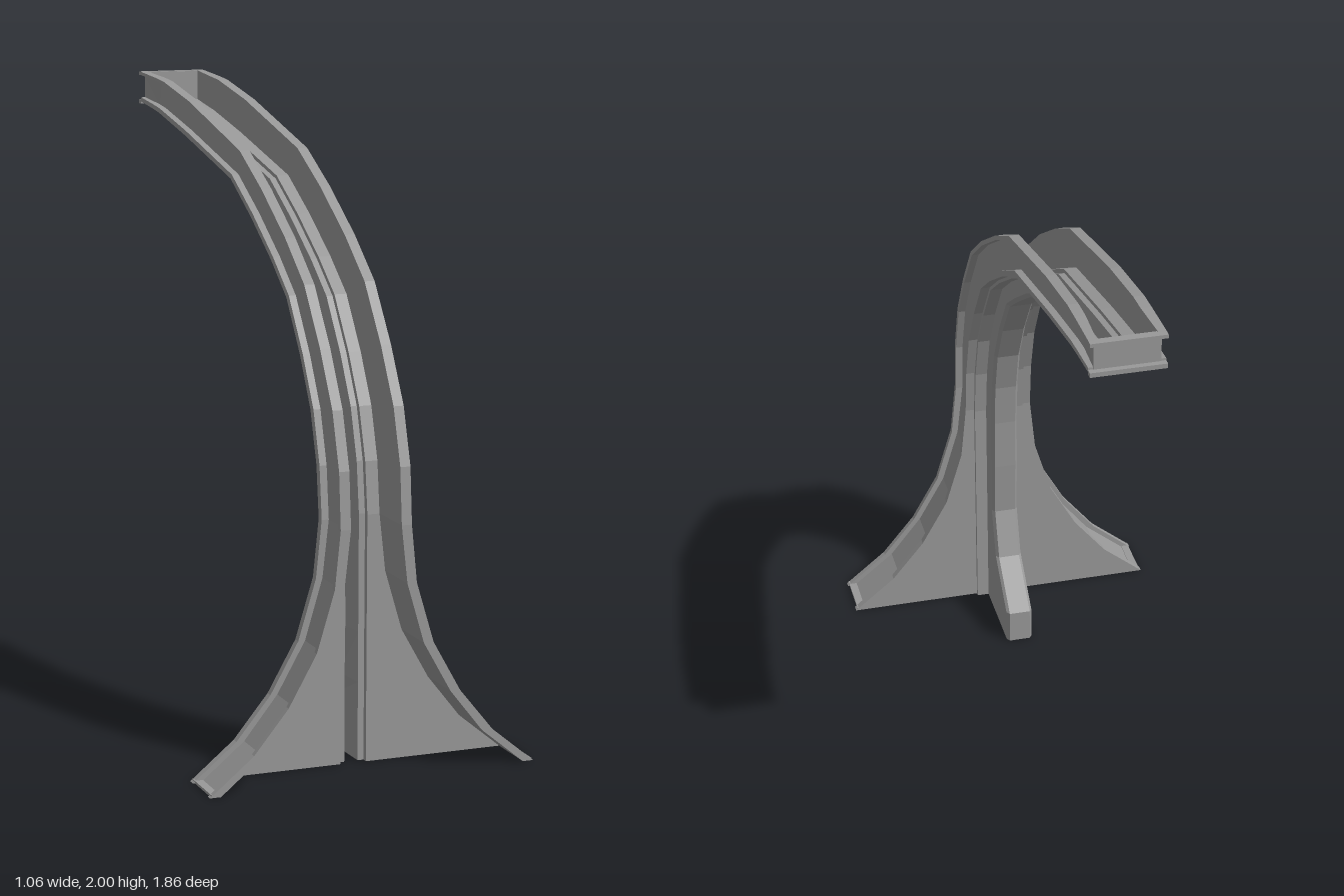
import * as THREE from 'three';

const material = new THREE.MeshStandardMaterial({ color: 0x999999, flatShading: true });

// Stations along the arch: front edge, back face and rib edge as [z, y],
// then half width of the flanges, half width of the web, half width of the recess.
const foot = [[0, 0.44, 0.53, 0.505], [0.115, 0.44, 0.39, 0.365], [0.25, 0.6, 0.28, 0.258],
  [0.41, 0.655, 0.19, 0.168], [0.6, 0.647, 0.133, 0.112]]
  .map(([y, r, w, v]) => ({ o: [0.93, y], b: [0.74, y], r: [r, y], w, v, s: 0.042 }));
const bend = [
  [0.93, 0.78, 0.74, 0.78, 0.645, 0.78],
  [0.915, 0.955, 0.72, 0.94, 0.63, 0.93],
  [0.86, 1.13, 0.67, 1.1, 0.59, 1.077],
  [0.76, 1.3, 0.585, 1.25, 0.51, 1.225],
  [0.63, 1.475, 0.47, 1.41, 0.4, 1.38],
  [0.47, 1.597, 0.34, 1.507, 0.28, 1.464],
  [0.265, 1.724, 0.165, 1.618, 0.117, 1.57],
  [0.07, 1.825, -0.02, 1.72, -0.075, 1.67],
  [-0.41, 1.94, -0.455, 1.815, -0.49, 1.766],
  [-0.67, 1.985, -0.72, 1.867, -0.67, 1.8],
  [-0.75, 1.991, -0.785, 1.876, -0.727, 1.81],
].map(([oz, oy, bz, by, rz, ry]) => ({ o: [oz, oy], b: [bz, by], r: [rz, ry], w: 0.115, v: 0.092, s: 0.042 }));
const arch = [...foot, ...bend];
const last = arch[arch.length - 1];
const tip = { o: [-0.91, 2], b: [-0.91, 1.89], w: 0.115, v: 0.1, s: 0 };

const mix = (p, q, t) => [p[0] + (q[0] - p[0]) * t, p[1] + (q[1] - p[1]) * t];

// Sweeps a closed profile of [x, t] through rings; t runs between two rails.
function sweep(name, stations, profile, from, to) {
  const profiles = stations.map((s) => profile(s).map(([x, t]) => new THREE.Vector2(x, t)));
  if (THREE.ShapeUtils.isClockWise(profiles[0])) profiles.forEach((p) => p.reverse());
  const rings = stations.map((s, i) => profiles[i].map((p) => {
    const [z, y] = mix(s[from], s[to], p.y);
    return new THREE.Vector3(p.x, y, z);
  }));
  const tris = [];
  const n = rings[0].length;
  for (let i = 0; i < rings.length - 1; i++) {
    for (let k = 0; k < n; k++) {
      const a = rings[i][k], b = rings[i][(k + 1) % n];
      const c = rings[i + 1][(k + 1) % n], d = rings[i + 1][k];
      tris.push([a, b, c], [a, c, d]);
    }
  }
  const end = rings.length - 1;
  for (const [a, b, c] of THREE.ShapeUtils.triangulateShape(profiles[0], [])) {
    tris.push([rings[0][c], rings[0][b], rings[0][a]]);
  }
  for (const [a, b, c] of THREE.ShapeUtils.triangulateShape(profiles[end], [])) {
    tris.push([rings[end][a], rings[end][b], rings[end][c]]);
  }
  // Turn every face outward
  let volume = 0;
  for (const [a, b, c] of tris) volume += a.dot(b.clone().cross(c));
  if (volume < 0) tris.forEach((t) => t.reverse());
  const geometry = new THREE.BufferGeometry().setFromPoints(tris.flat());
  geometry.computeVertexNormals();
  const mesh = new THREE.Mesh(geometry, material);
  mesh.name = name;
  return mesh;
}

function box(name, x, width, y0, y1, z0, z1) {
  const mesh = new THREE.Mesh(new THREE.BoxGeometry(width, y1 - y0, z1 - z0), material);
  mesh.position.set(x, (y0 + y1) / 2, (z0 + z1) / 2);
  mesh.name = name;
  return mesh;
}

export function createModel() {
  const group = new THREE.Group();
  group.name = 'archedSupport';

  // Open channel with outward flanges, one half per side, spreading into the feet
  const channel = [...arch, { ...last, s: 0 }, tip];
  for (const side of [1, -1]) {
    const label = side > 0 ? 'left' : 'right';
    group.add(sweep(`${label}Beam`, channel, ({ w, v, s }) => [
      [w, 0], [w, 0.1], [v, 0.1], [v, 0.8], [w, 0.8], [w, 0.93], [0.085, 0.93], [0.085, 1],
      [s, 1], [s, 0.9], [v - 0.01, 0.9], [v - 0.01, 0],
    ].map(([x, t]) => [x * side, t]), 'o', 'b'));
    // Lip joining the two flanges where the foot meets the ground
    group.add(box(`${label}ToeLip`, side * 0.511, 0.026, 0, 0.008, 0.754, 0.93));
  }

  // Rib with a narrow groove behind the recess, with its buttress foot
  group.add(sweep('rib', arch, ({ b, r }) => {
    const depth = Math.hypot(b[0] - r[0], b[1] - r[1]);
    const bevel = 1 - 0.014 / depth;
    const floor = 1 - 0.01 / depth;
    return [[0.045, 0], [0.045, bevel], [0.036, 1], [-0.036, 1], [-0.045, bevel], [-0.045, 0],
      [-0.022, 0], [-0.011, floor], [0.011, floor], [0.022, 0]];
  }, 'b', 'r'));

  // Plate closing the rib's upper end
  const before = arch[arch.length - 2];
  const inner = { b: mix(before.b, last.b, 0.8), r: mix(before.r, last.r, 0.8) };
  group.add(sweep('ribEnd', [inner, last],
    () => [[0.03, 0.02], [0.02, 0.95], [-0.02, 0.95], [-0.03, 0.02]], 'b', 'r'));

  // End wall and the flanges that wrap round the tip
  group.add(box('endWall', 0, 0.2, 1.895, 1.998, -0.912, -0.9));
  group.add(box('endFlangeTop', 0, 0.23, 1.988, 2, -0.93, -0.91));
  group.add(box('endFlangeBottom', 0, 0.23, 1.89, 1.905, -0.93, -0.91));
  return group;
}
